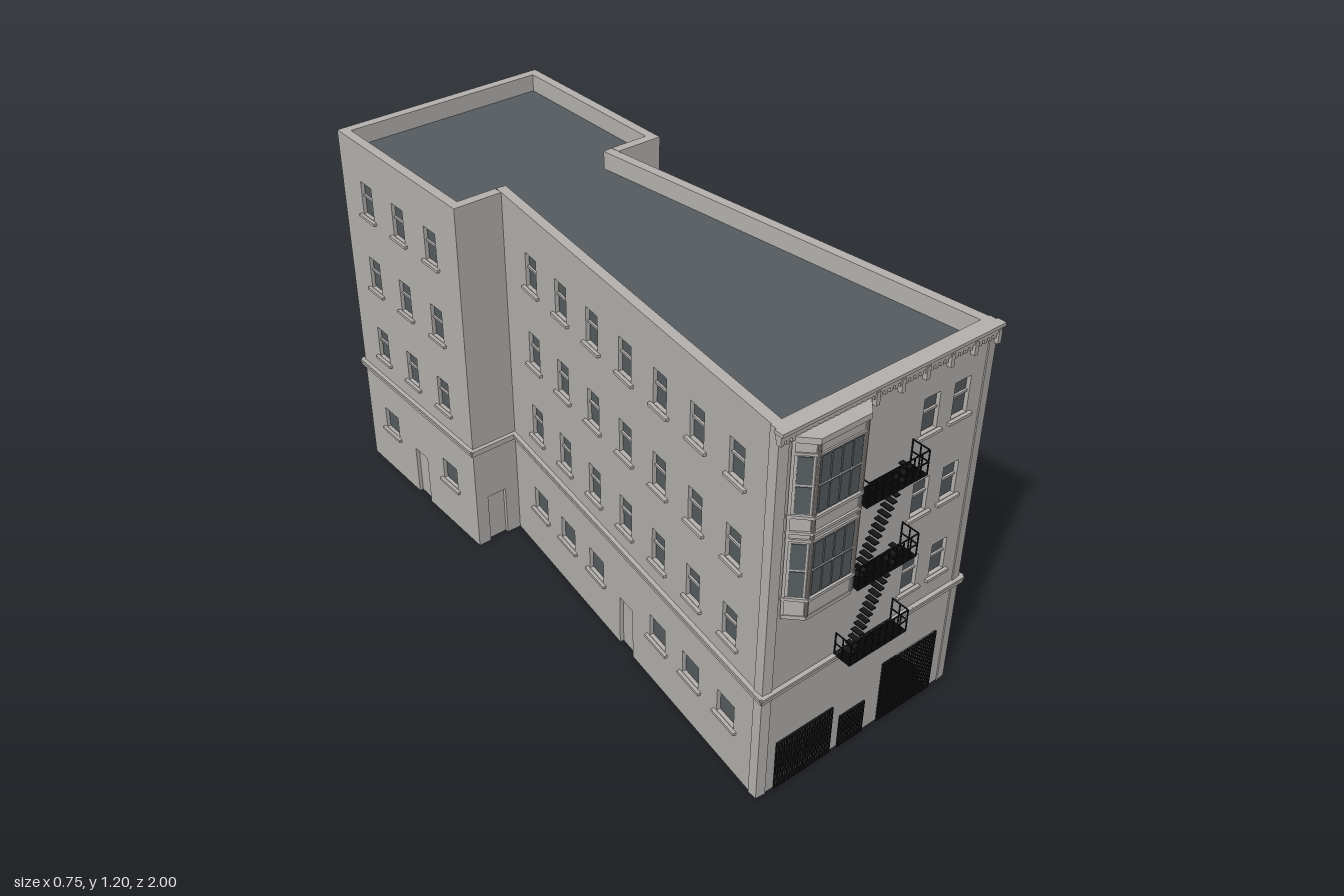
import * as THREE from 'three';

const mat = (name, color) => {
  const m = new THREE.MeshStandardMaterial({ color });
  m.name = name;
  return m;
};

export function createModel() {
  const stone = mat('grey stone', 0xb5b2af);
  const slate = mat('dark slate glass', 0x565c60);
  const iron = mat('black iron', 0x161616);
  const model = new THREE.Group();
  const T = 0.03, H = 1.195;

  const group = (name, parent = model) => {
    const g = new THREE.Group();
    g.name = name;
    parent.add(g);
    return g;
  };
  // Box given by its min and max corners
  const box = (name, parent, m, x0, x1, y0, y1, z0, z1) => {
    const b = new THREE.Mesh(new THREE.BoxGeometry(x1 - x0, y1 - y0, z1 - z0), m);
    b.position.set((x0 + x1) / 2, (y0 + y1) / 2, (z0 + z1) / 2);
    b.name = name;
    parent.add(b);
    return b;
  };
  // Upright prism over a plan outline of [x, z] points
  const prism = (name, parent, m, pts, y0, y1) => {
    const s = new THREE.Shape(pts.map(([x, z]) => new THREE.Vector2(x, -z)));
    const g = new THREE.ExtrudeGeometry(s, { depth: y1 - y0, bevelEnabled: false });
    g.rotateX(-Math.PI / 2).translate(0, y0, 0);
    const p = new THREE.Mesh(g, m);
    p.name = name;
    parent.add(p);
  };
  // Group with local x running from plan point a to b and local z facing outward
  const faceGroup = (name, a, b, parent = model) => {
    const g = group(name, parent);
    g.position.set(a[0], 0, a[1]);
    g.rotation.y = Math.atan2(a[1] - b[1], b[0] - a[0]);
    return g;
  };

  // Plan of the building, inset by d
  const plan = (d) => [
    [-0.36 + d, 0.94 - d], [0.36 - d, 0.94 - d], [0.205 - d, -0.355 - d], [0.36 - d, -0.355 - d],
    [0.36 - d, -0.99 + d], [-0.36 + d, -0.99 + d], [-0.36 + d, -0.355 - d], [-0.205 + d, -0.355 - d],
  ];

  // One wall slab with openings, each filled by a window or a door
  function wall(name, a, b, openings, { ledge = true, ext0 = 0, ext1 = 0 } = {}) {
    const g = faceGroup(name, a, b);
    const L = Math.hypot(b[0] - a[0], b[1] - a[1]);
    const rect = (P, x0, x1, y0, y1) => {
      const p = new P();
      p.moveTo(x0, y0); p.lineTo(x1, y0); p.lineTo(x1, y1); p.lineTo(x0, y1); p.closePath();
      return p;
    };
    // Outline dips around ground-level openings
    const s = new THREE.Shape();
    s.moveTo(-ext0, 0);
    openings.filter((o) => o.y === 0).sort((p, q) => p.u - q.u).forEach((o) => {
      const l = o.u - o.w / 2, r = o.u + o.w / 2;
      s.lineTo(l, 0); s.lineTo(l, o.h); s.lineTo(r, o.h); s.lineTo(r, 0);
    });
    s.lineTo(L + ext1, 0); s.lineTo(L + ext1, H); s.lineTo(-ext0, H); s.closePath();
    for (const o of openings) {
      if (o.y > 0) s.holes.push(rect(THREE.Path, o.u - o.w / 2, o.u + o.w / 2, o.y, o.y + o.h));
    }
    const geo = new THREE.ExtrudeGeometry(s, { depth: T, bevelEnabled: false });
    const slab = new THREE.Mesh(geo.translate(0, 0, -T), stone);
    slab.name = name + 'Slab';
    g.add(slab);

    for (const { u, y, w, h, kind } of openings) {
      const l = u - w / 2, r = u + w / 2;
      if (kind === 'door') {
        box('door', g, stone, l, r, 0, h, -0.02, -0.012);
        box('doorBack', g, slate, l, r, 0, h, -0.028, -0.02);
      } else if (kind !== 'open') {
        box('glass', g, slate, l, r, y, y + h, -0.018, -0.012);
        box('sill', g, stone, l - 0.013, r + 0.013, y - 0.011, y - 0.002, -0.005, 0.01);
        if (kind === 'sash') box('meetingRail', g, stone, l, r, y + h * 0.53, y + h * 0.59, -0.013, -0.006);
      }
    }
    if (ledge) {
      box('ledge', g, stone, -0.008, L + 0.008, 0.357, 0.378, -0.005, 0.01);
      box('ledgeCap', g, stone, -0.008, L + 0.008, 0.37, 0.378, -0.005, 0.013);
    }
  }

  const sashes = (us, w = 0.06) => us.flatMap((u) =>
    [0.448, 0.703, 0.96].map((y) => ({ u, y, w, h: 0.108, kind: 'sash' })));
  const small = (us) => us.map((u) => ({ u, y: 0.16, w: 0.078, h: 0.078, kind: 'plain' }));
  const door = (u, w = 0.07) => ({ u, y: 0, w, h: 0.175, kind: 'door' });

  const P = plan(0);
  const sideLen = Math.hypot(0.155, 1.295);
  const cols = [...Array(7)].map((_, i) => 0.151 + i * 0.166);
  const flip = cols.map((u) => sideLen - u);
  const sideOpenings = (c) => [...sashes(c), ...small(c.filter((_, i) => i !== 3)), door(c[3])];
  const backCols = [0.155, 0.36, 0.565], blockCols = [0.14, 0.315, 0.49];

  wall('frontWall', P[0], P[1], [...sashes([0.507, 0.615], 0.056), { u: 0.548, y: 0, w: 0.205, h: 0.215, kind: 'open' }]);
  wall('leftLongWall', P[1], P[2], sideOpenings(cols), { ext1: T });
  wall('leftStepWall', P[2], P[3], [door(0.08, 0.065)]);
  wall('leftBlockWall', P[3], P[4], [], { ledge: false });
  wall('backWall', P[4], P[5], [...sashes(backCols), ...small([backCols[0], backCols[2]]), door(backCols[1])]);
  wall('rightBlockWall', P[5], P[6], [...sashes(blockCols), ...small([blockCols[0], blockCols[2]]), door(blockCols[1])]);
  wall('rightStepWall', P[6], P[7], [door(0.075, 0.065)]);
  wall('rightLongWall', P[7], P[0], sideOpenings(flip), { ext0: T });
  prism('roof', model, slate, plan(0.012), 1.13, 1.14);

  // Cornice with small teeth and larger brackets
  const cornice = group('cornice');
  box('corniceBand', cornice, stone, -0.363, 0.363, 1.168, 1.185, 0.93, 0.95);
  box('corniceCap', cornice, stone, -0.366, 0.366, 1.185, H, 0.93, 0.957);
  for (let i = 0; i < 43; i++) {
    const x = -0.357 + i * 0.017;
    box('tooth', cornice, stone, x - 0.005, x + 0.005, 1.155, 1.169, 0.935, 0.949);
  }
  for (let i = 0; i < 9; i++) {
    const x = 0.355 - i * 0.0835;
    if (x < -0.08 && x > -0.32) continue;
    box('bracket', cornice, stone, x - 0.006, x + 0.006, 1.137, 1.175, 0.935, 0.953);
  }

  // Canted bay window, outline grown by o
  const bay = group('bayWindow');
  const bayPlan = (o) => [[-0.316 - o, 0.935], [-0.316 - o, 0.943], [-0.275 - o * 0.5, 0.983 + o],
    [-0.125 + o * 0.5, 0.983 + o], [-0.084 + o, 0.943], [-0.084 + o, 0.935]];
  prism('bayBody', bay, stone, bayPlan(0), 0.625, 1.155);
  [[0.61, 0.62, -0.018], [0.618, 0.63, 0.002], [0.68, 0.689, 0.007], [0.862, 0.87, 0.005], [0.885, 0.893, 0.006],
    [0.932, 0.941, 0.007], [1.112, 1.119, 0.004], [1.148, 1.165, 0.008]]
    .forEach(([y0, y1, o]) => prism('bayMoulding', bay, stone, bayPlan(o), y0, y1));
  const B = bayPlan(0);
  [1, 2, 3].forEach((i) => {
    const g = faceGroup('bayFace', B[i], B[i + 1], bay);
    const L = Math.hypot(B[i + 1][0] - B[i][0], B[i + 1][1] - B[i][1]);
    const n = i === 2 ? 4 : 1, m = 0.008, w = (L - 2 * m) / n;
    for (const y of [0.692, 0.945]) {
      for (let k = 0; k < n; k++) {
        const l = m + k * w + 0.002, r = m + (k + 1) * w - 0.002;
        box('bayPane', g, slate, l, r, y, y + 0.077, -0.001, 0.002);
        box('bayPane', g, slate, l, r, y + 0.084, y + 0.162, -0.001, 0.002);
      }
    }
    for (const x of [0, L]) box('bayPost', g, stone, x - 0.004, x + 0.004, 0.63, 1.15, -0.004, 0.004);
  });

  // Fire escape: three balconies joined by two flights of treads
  const escape = group('fireEscape');
  const X0 = -0.115, X1 = 0.09, Z0 = 0.942, Z1 = 0.998, R = 0.0015;
  const balcony = (y) => {
    const g = group('balcony', escape);
    for (let i = 0; i <= 16; i++) {
      const z = Z0 + (Z1 - Z0) * i / 16;
      box('floorSlat', g, iron, X0, X1, y, y + 0.004, z - 0.0012, z + 0.0012);
    }
    for (const h of [0.002, 0.04, 0.075]) {
      box('frontRail', g, iron, X0, X1, y + h - R, y + h + R, Z1 - R, Z1 + R);
      for (const x of [X0, X1]) box('endRail', g, iron, x - R, x + R, y + h - R, y + h + R, Z0, Z1);
    }
    for (let i = 0; i <= 8; i++) {
      const x = X0 + (X1 - X0) * i / 8;
      box('baluster', g, iron, x - R, x + R, y, y + 0.075, Z1 - R, Z1 + R);
    }
    for (const x of [X0, X1]) {
      for (const z of [Z0 + 0.002, 0.97]) box('endBaluster', g, iron, x - R, x + R, y, y + 0.075, z - R, z + R);
    }
  };
  [0.375, 0.632, 0.89].forEach(balcony);
  for (const y of [0.395, 0.652]) {
    for (let i = 0; i < 17; i++) {
      const x = -0.092 + i * 0.0082, ty = y + i * 0.0172;
      box('tread', escape, iron, x - 0.008, x + 0.008, ty, ty + 0.004, 0.955, 0.988);
    }
  }

  // Barred gates along the street front
  function gate(name, x0, x1, h, n, rails) {
    const g = group(name);
    for (let i = 0; i <= n; i++) {
      const x = x0 + (x1 - x0) * i / n;
      box('bar', g, iron, x - 0.0018, x + 0.0018, 0, h, 0.943, 0.947);
    }
    for (const y of rails) box('gateRail', g, iron, x0, x1, y - 0.002, y + 0.002, 0.942, 0.948);
    return g;
  }
  const wide = gate('wideGate', -0.3, -0.1, 0.172, 22, [0.008, 0.085, 0.17]);
  box('gateGlass', wide, slate, -0.295, -0.203, 0.045, 0.135, 0.938, 0.942);
  box('gateGlass', wide, slate, -0.197, -0.105, 0.045, 0.135, 0.938, 0.942);
  const low = gate('lowGate', -0.068, 0.023, 0.118, 10, [0.008, 0.06, 0.116]);
  box('gateGlass', low, slate, -0.064, 0.019, 0.04, 0.082, 0.938, 0.942);
  gate('tallGate', 0.085, 0.29, 0.217, 22, [0.008, 0.214]);

  return model;
}
